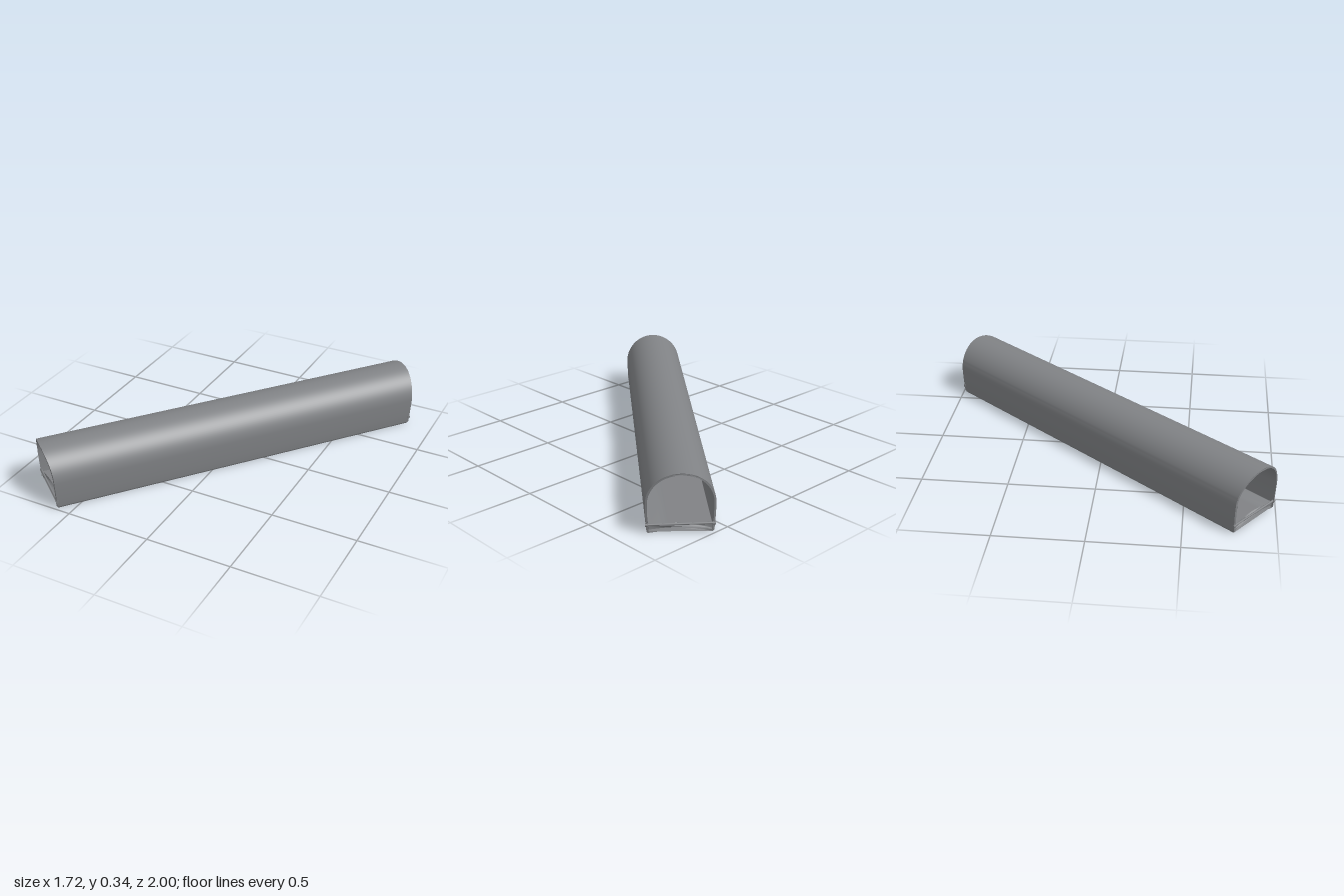
import * as THREE from 'three';
import { toCreasedNormals } from 'three/addons/utils/BufferGeometryUtils.js';

const HALF_LENGTH = 1.166; // at the crown
const HALF_WIDTH = 0.178;
const SPRING = 0.165; // height where the arch begins

// Horseshoe section from the right foot over the crown to the left foot
function archPoints(inset) {
  const leg = [];
  for (let i = 0; i < 5; i++) {
    const t = i / 5;
    leg.push([HALF_WIDTH - 0.008 * (1 - t) ** 2 - inset, SPRING * t]);
  }
  const pts = leg.map(([x, y]) => new THREE.Vector2(x, y));
  for (let i = 0; i <= 48; i++) {
    const a = Math.PI * i / 48;
    pts.push(new THREE.Vector2((HALF_WIDTH - inset) * Math.cos(a), SPRING + (0.172 - inset) * Math.sin(a)));
  }
  leg.reverse().forEach(([x, y]) => pts.push(new THREE.Vector2(-x, y)));
  return pts;
}

// Extrude a section along z and pull both ends back by a rule
function extrudeWithEnds(shape, recess) {
  let geo = new THREE.ExtrudeGeometry(shape, { depth: 2, bevelEnabled: false, curveSegments: 12 });
  const p = geo.attributes.position;
  for (let i = 0; i < p.count; i++) {
    const side = p.getZ(i) > 1 ? 1 : -1;
    p.setZ(i, side * (HALF_LENGTH - recess(p.getX(i), p.getY(i))));
  }
  geo = toCreasedNormals(geo, 0.5);
  return geo;
}

// Flat strip section, divided across so that its ends can curve
function stripShape(halfWidth, y0, y1, chamfer = 0) {
  const pts = [];
  for (let i = 0; i <= 16; i++) {
    pts.push(new THREE.Vector2((halfWidth - chamfer) * (i / 8 - 1), y0));
  }
  for (let i = 16; i >= 0; i--) pts.push(new THREE.Vector2(halfWidth * (i / 8 - 1), y1));
  return new THREE.Shape(pts);
}

export function createModel() {
  const model = new THREE.Group();
  const tunnel = new THREE.Group();
  tunnel.name = 'tunnel';
  tunnel.rotation.y = -0.683;
  model.add(tunnel);

  const grey = new THREE.MeshStandardMaterial({ color: 0x808285 });
  grey.name = 'grey';

  const add = (name, geometry) => {
    const mesh = new THREE.Mesh(geometry, grey);
    mesh.name = name;
    tunnel.add(mesh);
    return mesh;
  };

  // Arched shell, its ends bulging outward at the crown
  const outline = archPoints(0).concat(archPoints(0.01).reverse());
  outline.forEach((p) => { p.y = Math.max(p.y, 0.01); });
  const shellRecess = (x, y) => 0.025 * (x / HALF_WIDTH) ** 2 + 0.008 * Math.max(0, 1 - y / SPRING);
  add('archedShell', extrudeWithEnds(new THREE.Shape(outline), shellRecess));

  // Base and floor with hollowed ends
  const floorRecess = (x) => 0.032 + 0.025 * (1 - (x / HALF_WIDTH) ** 2);
  add('basePlate', extrudeWithEnds(stripShape(0.17, 0, 0.01, 0.005), floorRecess));
  add('floorSlab', extrudeWithEnds(stripShape(0.161, 0.018, 0.042), floorRecess));

  // Threshold rods across both ends, with end knobs
  for (const side of [1, -1]) {
    const z = side * (HALF_LENGTH - 0.033);
    const rod = add('thresholdRod', new THREE.CylinderGeometry(0.006, 0.006, 0.345, 12));
    rod.rotation.z = Math.PI / 2;
    rod.position.set(0, 0.047, z);
    for (const x of [-0.17, 0.17]) {
      const knob = add('rodKnob', new THREE.CylinderGeometry(0.009, 0.009, 0.014, 12));
      knob.rotation.z = Math.PI / 2;
      knob.position.set(x, 0.047, z);
    }
  }
  return model;
}
